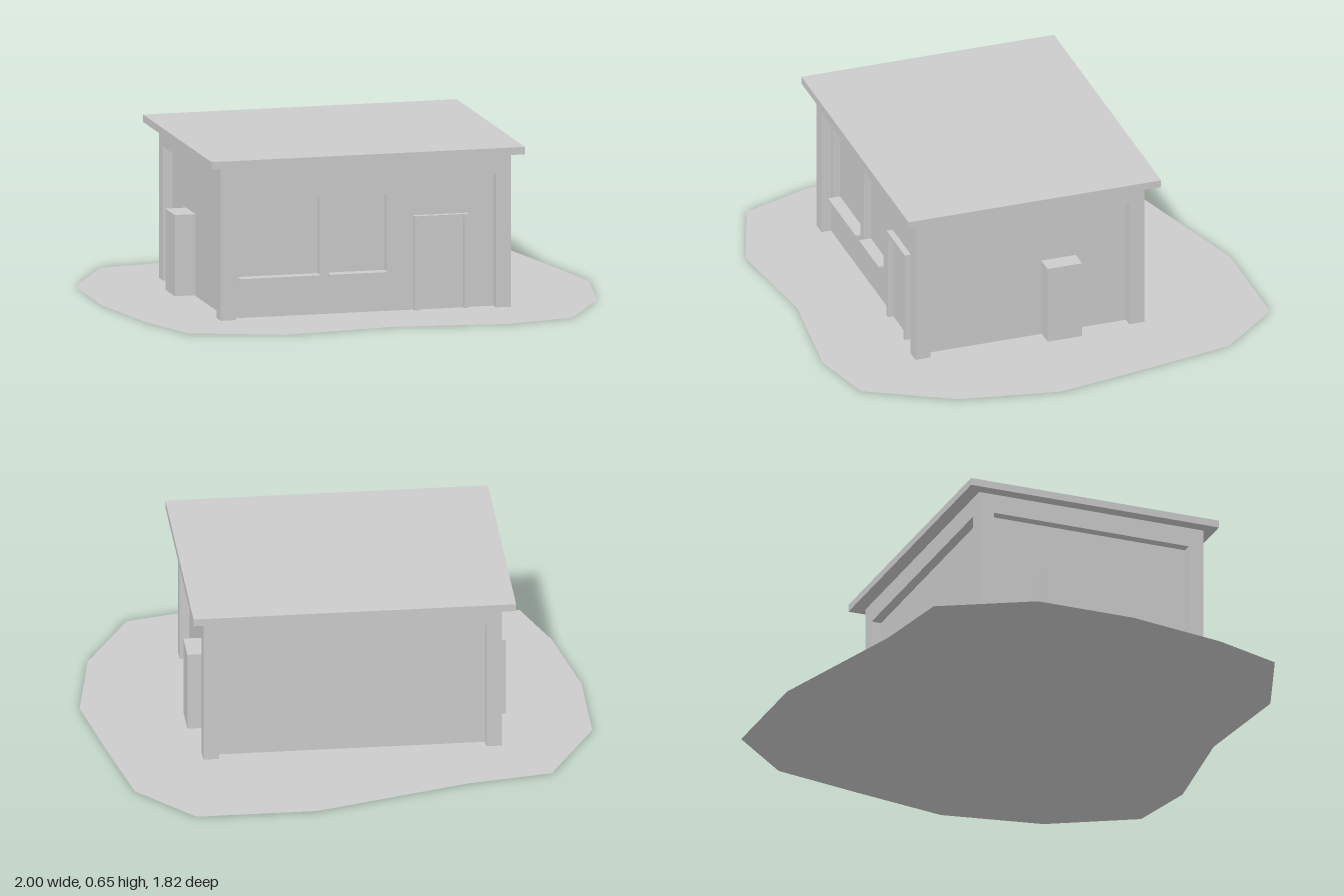
import * as THREE from 'three';

const grey = new THREE.MeshStandardMaterial({ color: 0xcccccc, flatShading: true });
const greyDouble = new THREE.MeshStandardMaterial({ color: 0xcccccc, flatShading: true, side: THREE.DoubleSide });

// Box given by its limits on each axis
function slab(name, [x0, x1], [y0, y1], [z0, z1]) {
  const mesh = new THREE.Mesh(new THREE.BoxGeometry(x1 - x0, y1 - y0, z1 - z0), grey);
  mesh.position.set((x0 + x1) / 2, (y0 + y1) / 2, (z0 + z1) / 2);
  mesh.name = name;
  return mesh;
}

// Closed rectangle, as a Shape outline or a Path hole
function rect(Kind, x0, x1, y0, y1) {
  return new Kind([[x0, y0], [x1, y0], [x1, y1], [x0, y1]].map(p => new THREE.Vector2(...p)));
}

export function createModel() {
  const group = new THREE.Group();
  group.name = 'building';

  // Outer limits of the building and depth of the recessed wall panels
  const L = -0.63, R = 0.56, B = -0.41, F = 0.55, top = 0.62;
  const post = 0.063, recess = 0.04, beamY = 0.54;
  const wallFront = F - recess, reveal = 0.03;

  // Irregular ground patch
  const outline = [[-1, -0.31], [-0.8, -0.675], [-0.46, -0.73], [0.16, -0.91], [0.64, -0.91],
    [0.86, -0.66], [0.93, -0.3], [1, 0.09], [0.925, 0.5], [0.735, 0.84], [0.46, 0.905],
    [0, 0.85], [-0.46, 0.905], [-0.825, 0.775], [-0.925, 0.5], [-1, 0.1]];
  const groundGeo = new THREE.ShapeGeometry(new THREE.Shape(outline.map(p => new THREE.Vector2(...p))));
  const ground = new THREE.Mesh(groundGeo.rotateX(Math.PI / 2), greyDouble);
  ground.name = 'groundPatch';
  group.add(ground);

  // Wall core; its front face is the window glass
  group.add(slab('wallCore', [L + recess, R - recess], [0, top], [B + recess, wallFront - reveal]));

  // Front wall with window openings
  const windows = [[-0.545, -0.215], [-0.175, 0.06]];
  const sillY = 0.155, headY = 0.47;
  const front = rect(THREE.Shape, L + recess, R - recess, 0, top);
  for (const [a, b] of windows) front.holes.push(rect(THREE.Path, a, b, sillY, headY));
  const frontWall = new THREE.Mesh(
    new THREE.ExtrudeGeometry(front, { depth: reveal, bevelEnabled: false }), grey);
  frontWall.position.z = wallFront - reveal;
  frontWall.name = 'frontWall';
  group.add(frontWall);

  // Window sills
  for (const [a, b] of windows) {
    group.add(slab('windowSill', [a, b], [sillY - 0.005, sillY + 0.005], [wallFront - reveal, wallFront + 0.02]));
  }

  // Door frame
  const frame = new THREE.Shape([[0.17, 0], [0.188, 0], [0.188, 0.365], [0.373, 0.365],
    [0.373, 0], [0.39, 0], [0.39, 0.38], [0.17, 0.38]].map(p => new THREE.Vector2(...p)));
  const doorFrame = new THREE.Mesh(
    new THREE.ExtrudeGeometry(frame, { depth: 0.025, bevelEnabled: false }), grey);
  doorFrame.position.z = wallFront;
  doorFrame.name = 'doorFrame';
  group.add(doorFrame);
  group.add(slab('door', [0.188, 0.373], [0, 0.365], [wallFront - 0.01, wallFront + 0.003]));

  // Corner posts
  for (const x of [[L, L + post], [R - post, R]]) {
    for (const z of [[B, B + post], [F - post, F]]) group.add(slab('cornerPost', x, [0, top], z));
  }

  // Beams under the roof, between the posts
  for (const z of [[B, B + post], [F - post, F]]) {
    group.add(slab('longBeam', [L + post, R - post], [beamY, top], z));
  }
  for (const x of [[L, L + post], [R - post, R]]) {
    group.add(slab('sideBeam', x, [beamY, top], [B + post, F - post]));
  }

  // Utility boxes against the side walls
  for (const x of [[-0.675, L + recess], [R - recess, 0.595]]) {
    group.add(slab('utilityBox', x, [0.003, 0.33], [-0.137, 0.008]));
  }

  // Flat overhanging roof
  group.add(slab('roof', [-0.68, 0.605], [top, 0.65], [-0.465, 0.595]));
  return group;
}
